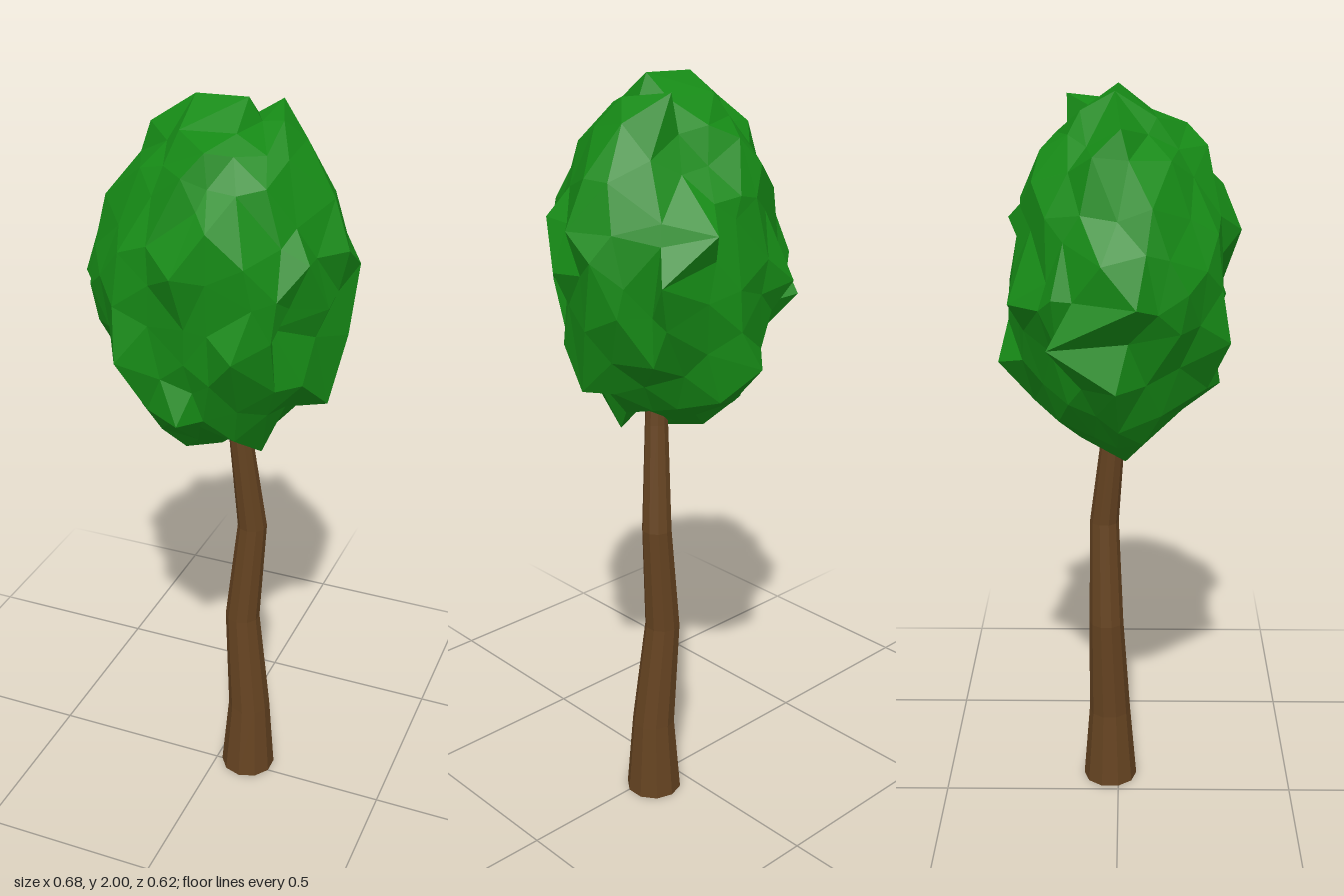
import * as THREE from 'three';
import { mergeVertices } from 'three/addons/utils/BufferGeometryUtils.js';

// small seeded random, -1 to 1
function seeded(seed) {
  return () => {
    seed = (seed * 16807) % 2147483647;
    return (seed / 2147483647) * 2 - 1;
  };
}

// crooked tapering trunk: each ring is x, y, z, radius
function makeTrunk() {
  const rings = [
    [0.09, 0, -0.024, 0.077],
    [0.091, 0.22, -0.025, 0.059],
    [0.064, 0.52, -0.034, 0.048],
    [0.088, 0.82, -0.039, 0.04],
    [0.062, 1.11, -0.011, 0.031],
    [0.05, 1.35, 0, 0.022],
  ];
  const last = rings.length - 1;
  const geometry = new THREE.CylinderGeometry(1, 1, last, 10, last);
  const p = geometry.attributes.position;
  for (let i = 0; i < p.count; i++) {
    const [x, y, z, r] = rings[Math.round(p.getY(i) + last / 2)];
    p.setXYZ(i, x + p.getX(i) * r, y, z + p.getZ(i) * r);
  }
  geometry.computeVertexNormals();
  const mesh = new THREE.Mesh(geometry, new THREE.MeshStandardMaterial({ color: 0x654321, flatShading: true }));
  mesh.name = 'trunk';
  return mesh;
}

// rough faceted crown: a jittered egg, pulled and dented toward set points
function makeCrown() {
  const center = new THREE.Vector3(0.012, 1.54, 0.005);
  const radii = new THREE.Vector3(0.325, 0.46, 0.298);
  const reach = 0.075;
  const points = [
    // shoulders and dents
    [0.205, 1.5, 0.16], [0.33, 1.42, -0.05], [0.22, 1.89, -0.03], [0.29, 1.78, -0.02],
    [-0.18, 1.86, 0.03], [-0.25, 1.72, 0], [-0.2, 1.18, 0], [-0.3, 1.31, 0],
    [0.3, 1.25, 0], [0, 1.25, 0.265], [0, 1.2, -0.2], [0, 1.86, 0.22],
    [0.05, 1.8, -0.18], [-0.265, 1.55, 0.17], [-0.3, 1.45, -0.1],
    // outermost tips
    [-0.295, 1.42, -0.17], [0.25, 1.55, -0.235], [0.115, 1.66, -0.285], [-0.165, 1.5, -0.27],
    [-0.155, 1.4, 0.28], [0.15, 1.45, 0.285], [0.12, 1.97, -0.13], [0.14, 1.1, 0.04],
    [0.33, 1.6, -0.1], [0.34, 1.66, 0], [-0.34, 1.53, 0.045], [0.08, 2, 0],
    [-0.08, 1.06, 0.02], [0.007, 1.65, 0.31], [-0.017, 1.31, -0.31],
  ];
  let geometry = new THREE.IcosahedronGeometry(1, 3);
  geometry.deleteAttribute('normal');
  geometry.deleteAttribute('uv');
  geometry = mergeVertices(geometry, 1e-3);

  const random = seeded(4711);
  const p = geometry.attributes.position;
  const v = new THREE.Vector3();
  for (let i = 0; i < p.count; i++) {
    v.fromBufferAttribute(p, i);
    v.x += random() * 0.08;
    v.y += random() * 0.08;
    v.z += random() * 0.08;
    v.setLength(0.935 + random() * 0.075).multiply(radii).add(center);
    p.setXYZ(i, v.x, v.y, v.z);
  }
  // move the nearest vertex onto each point, its neighbours following softly
  for (const point of points) {
    const target = new THREE.Vector3(...point);
    const nearest = new THREE.Vector3(0, 9, 0);
    for (let i = 0; i < p.count; i++) {
      v.fromBufferAttribute(p, i);
      if (v.distanceTo(target) < nearest.distanceTo(target)) nearest.copy(v);
    }
    const shift = target.sub(nearest);
    for (let i = 0; i < p.count; i++) {
      v.fromBufferAttribute(p, i);
      v.addScaledVector(shift, Math.exp(-((v.distanceTo(nearest) / reach) ** 2)));
      p.setXYZ(i, v.x, v.y, v.z);
    }
  }
  geometry = geometry.toNonIndexed();
  geometry.computeVertexNormals();
  const mesh = new THREE.Mesh(geometry, new THREE.MeshStandardMaterial({ color: 0x168a16, flatShading: true }));
  mesh.name = 'crown';
  return mesh;
}

export function createModel() {
  const tree = new THREE.Group();
  tree.name = 'tree';
  tree.add(makeTrunk(), makeCrown());
  return tree;
}
